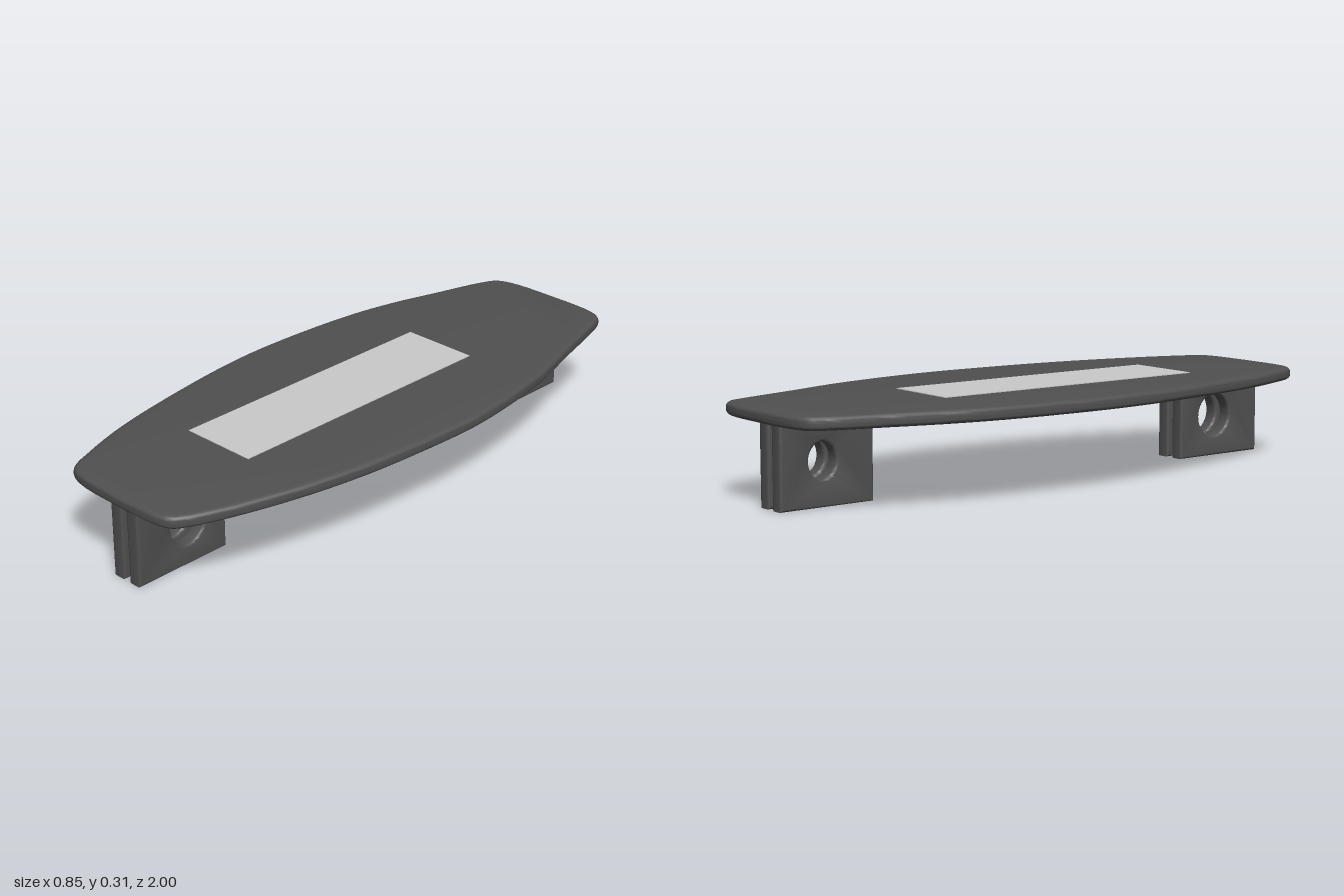
import * as THREE from 'three';
import { toCreasedNormals } from 'three/addons/utils/BufferGeometryUtils.js';

// Extrudes a shape with rounded rims that stay inside the outline; total thickness is exact.
function roundedSlab(shape, thickness, radius, segments) {
  const geo = new THREE.ExtrudeGeometry(shape, {
    depth: thickness - 2 * radius, bevelEnabled: true, bevelThickness: radius,
    bevelSize: radius, bevelOffset: -radius, bevelSegments: segments, curveSegments: 24,
  });
  geo.translate(0, 0, radius - thickness / 2);
  return toCreasedNormals(geo, 0.6);
}

export function createModel() {
  const model = new THREE.Group();
  const charcoal = new THREE.MeshStandardMaterial({ color: 0x505050 });
  charcoal.name = 'charcoal';
  const paleGrey = new THREE.MeshStandardMaterial({ color: 0xcacaca });
  paleGrey.name = 'paleGrey';

  const add = (name, geo, material, x, y, z, parent = model) => {
    const mesh = new THREE.Mesh(geo, material);
    mesh.name = name;
    mesh.position.set(x, y, z);
    parent.add(mesh);
    return mesh;
  };

  // Deck: boat-shaped outline in x and z, with a rounded rim
  const outline = [
    [0, -1], [0.18, -0.993], [0.225, -0.97], [0.25, -0.91], [0.31, -0.7], [0.37, -0.5],
    [0.41, -0.27], [0.425, -0.1], [0.42, 0.1], [0.4, 0.35], [0.36, 0.58], [0.3, 0.8],
    [0.25, 0.93], [0.22, 0.975], [0.18, 0.992], [0, 1], [-0.18, 0.99], [-0.23, 0.965],
    [-0.27, 0.88], [-0.33, 0.7], [-0.39, 0.4], [-0.425, 0.12], [-0.427, -0.1],
    [-0.405, -0.38], [-0.37, -0.56], [-0.32, -0.73], [-0.265, -0.91], [-0.235, -0.965],
    [-0.18, -0.99],
  ].map(([x, z]) => new THREE.Vector3(x, z, 0));
  const rim = new THREE.CatmullRomCurve3(outline, true, 'centripetal');
  const deckShape = new THREE.Shape(
    rim.getPoints(116).slice(0, -1).map((p) => new THREE.Vector2(p.x, p.y)));
  const deckGeo = roundedSlab(deckShape, 0.043, 0.019, 4);
  deckGeo.rotateX(Math.PI / 2);
  add('deck', deckGeo, charcoal, 0, 0.2885, 0);

  // Grip panel on top
  const panelGeo = new THREE.BoxGeometry(0.265, 0.004, 1.0);
  add('gripPanel', panelGeo, paleGrey, -0.0125, 0.3105, 0.08);

  // Each bracket is a pair of pierced plates under one end of the deck
  const brackets = [
    { name: 'frontBracket', z0: 0.62, z1: 0.968, hole: [0.77, 0.14, 0.068, 0.072] },
    { name: 'rearBracket', z0: -0.958, z1: -0.628, hole: [-0.81, 0.143, 0.048, 0.057] },
  ];
  for (const { name, z0, z1, hole: [hz, hy, rz, ry] } of brackets) {
    const group = new THREE.Group();
    group.name = name;
    model.add(group);
    const side = new THREE.Shape();
    side.moveTo(z0, 0).lineTo(z1, 0).lineTo(z1, 0.28).lineTo(z0, 0.28).closePath();
    side.holes.push(new THREE.Path().absellipse(hz, hy, rz, ry, 0, Math.PI * 2, true));
    const plateGeo = roundedSlab(side, 0.05, 0.009, 3);
    plateGeo.rotateY(-Math.PI / 2);
    add('rightPlate', plateGeo, charcoal, -0.037, 0.002, 0, group);
    add('leftPlate', plateGeo, charcoal, 0.032, 0.002, 0, group);
  }
  return model;
}
